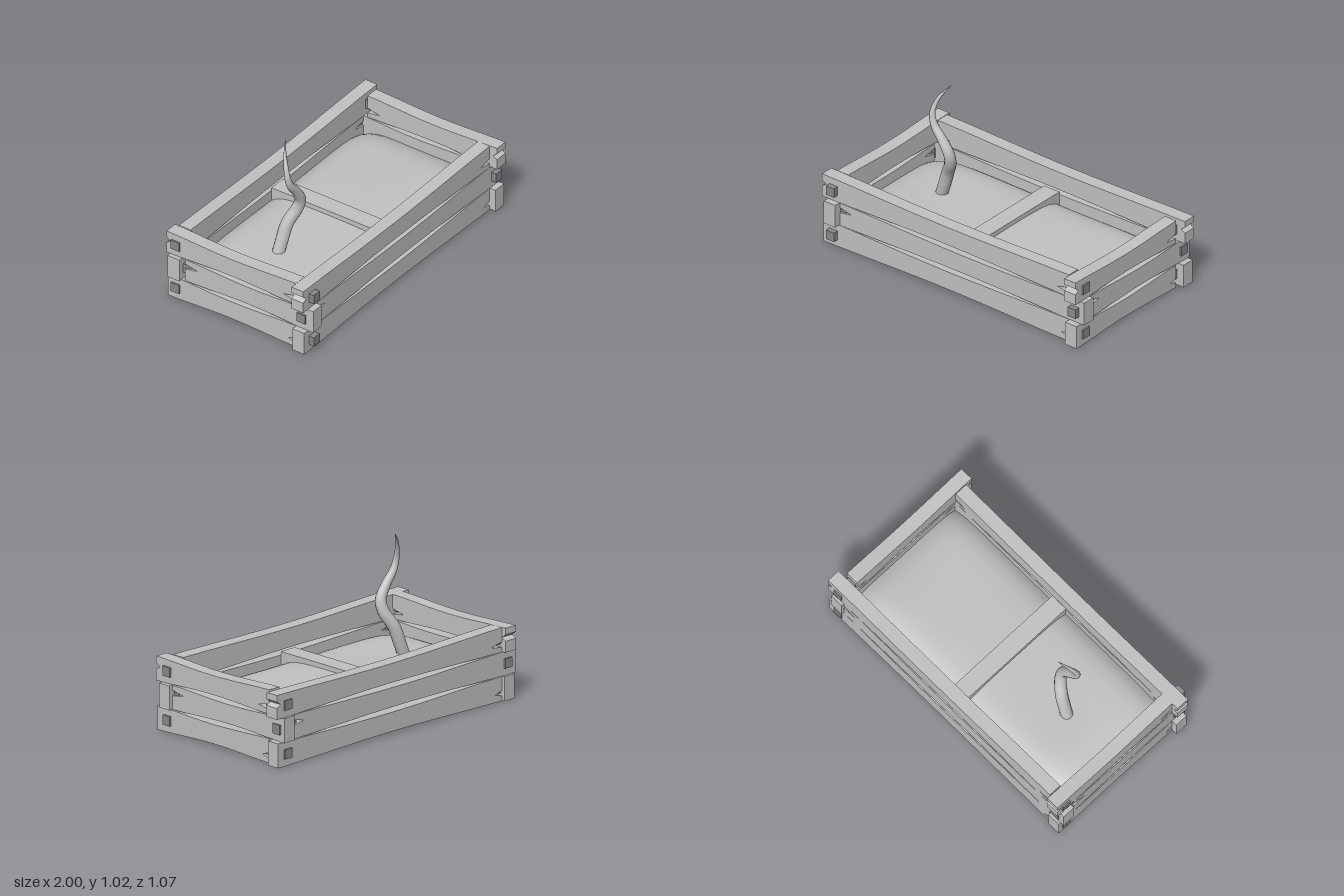
import * as THREE from 'three';

const mat = (name, color, side = THREE.FrontSide) => {
  const m = new THREE.MeshStandardMaterial({ color, side });
  m.name = name;
  return m;
};

const H = 0.15, T = 0.085; // board height and thickness

// Board outline: through end at u = -a, tenon shoulder at u = b, waist narrower in the middle
function boardShape(a, b, { flip, notch, crack, crackY }) {
  const pts = [], n = 10;
  const sag = (i) => 0.016 * Math.pow(Math.sin((Math.PI * i) / n), 1.6);
  const u = (i) => -a + ((a + b) * i) / n;
  for (let i = 0; i <= n; i++) pts.push([u(i), sag(i)]);
  // split running in from the shoulder
  pts.push([b, crackY], [b - crack, crackY + 0.015], [b, crackY + 0.034]);
  for (let i = n; i >= 0; i--) pts.push([u(i), H - sag(i)]);
  // chipped through end
  if (notch) pts.push([-a, 0.11], [-a + 0.03, 0.088], [-a, 0.07]);
  return new THREE.Shape(pts.map(([x, y]) => new THREE.Vector2(flip ? -x : x, y)));
}

function board(name, a, b, tip, opts, wood, dark) {
  const g = new THREE.Group();
  g.name = name;
  const geo = new THREE.ExtrudeGeometry(boardShape(a, b, opts), { depth: T, bevelEnabled: false });
  geo.translate(0, 0, -T / 2);
  const plank = new THREE.Mesh(geo, wood);
  plank.name = 'plank';
  // tenon passing through the neighbouring board
  const len = tip - b + 0.04;
  const tenon = new THREE.Mesh(new THREE.BoxGeometry(len, 0.06, 0.06), dark);
  tenon.name = 'tenon';
  tenon.position.set((opts.flip ? -1 : 1) * (tip - len / 2), 0.075, 0);
  g.add(plank, tenon);
  return g;
}

// Soil sheet, domed and falling away at the rim
function soilGeometry() {
  const geo = new THREE.PlaneGeometry(1.75, 0.84, 48, 28).rotateX(-Math.PI / 2);
  const p = geo.attributes.position;
  for (let i = 0; i < p.count; i++) {
    const x = p.getX(i), z = p.getZ(i);
    const drop = 0.06 * Math.pow(Math.abs(x) / 0.875, 10) + 0.06 * Math.pow(Math.abs(z) / 0.42, 6);
    p.setY(i, 0.272 - drop + 0.004 * Math.sin(x * 5 + 1) * Math.cos(z * 6));
  }
  geo.computeVertexNormals();
  return geo;
}

// Curling sprout: a tube whose rings shrink towards the tip
function sproutGeometry() {
  const path = new THREE.CatmullRomCurve3([
    [-0.525, 0.25, -0.04], [-0.5, 0.32, -0.034], [-0.458, 0.44, -0.02], [-0.412, 0.53, 0.016],
    [-0.407, 0.6, 0.037], [-0.46, 0.69, 0.041], [-0.515, 0.76, 0.04], [-0.534, 0.83, 0.034],
    [-0.518, 0.91, 0.01], [-0.485, 0.97, -0.018], [-0.448, 1.015, -0.04],
  ].map((c) => new THREE.Vector3(...c)));
  const seg = 44, sides = 14;
  const geo = new THREE.TubeGeometry(path, seg, 1, sides);
  const p = geo.attributes.position, v = new THREE.Vector3();
  for (let i = 0; i < p.count; i++) {
    const t = Math.floor(i / (sides + 1)) / seg;
    const c = path.getPointAt(t);
    const r = 0.037 * Math.pow(1 - t, 0.7) * (1 + 0.35 * Math.sin(Math.PI * t)) + 0.0005;
    v.fromBufferAttribute(p, i).sub(c).multiplyScalar(r).add(c);
    p.setXYZ(i, v.x, v.y, v.z);
  }
  geo.computeVertexNormals();
  return geo;
}

export function createModel() {
  const model = new THREE.Group();
  model.name = 'planterBox';
  const wood = mat('pale grey', 0xc2c2c2);
  const sheet = mat('pale grey sheet', 0xc2c2c2, THREE.DoubleSide);
  const dark = mat('dark grey', 0x8a8a8a);

  // Three courses of interlocked boards; the middle one is mirrored
  const courses = [
    { long: 0.99, short: 0.525, crack: 0.055, crackY: 0.03 },
    { long: 0.98, short: 0.525, crack: 0.09, crackY: 0.085, flip: true },
    { long: 1.0, short: 0.535, crack: 0.09, crackY: 0.028, notch: true },
  ];
  courses.forEach((c, i) => {
    const y = i * H;
    const add = (name, a, b, tip, x, z, turn) => {
      const g = board(name, a, b, tip, c, wood, dark);
      g.position.set(x, y, z);
      g.rotation.y = turn;
      model.add(g);
    };
    add('frontBoard', c.long, 0.865, 0.965, 0, 0.443, 0);
    add('backBoard', c.long, 0.865, 0.965, 0, -0.467, Math.PI);
    add('leftBoard', c.short, 0.4, 0.52, 0.912, 0, Math.PI / 2);
    add('rightBoard', c.short, 0.4, 0.52, -0.912, 0, -Math.PI / 2);
  });

  // Cross brace
  const brace = new THREE.Mesh(new THREE.BoxGeometry(0.115, 0.085, 0.825), wood);
  brace.name = 'crossBrace';
  brace.position.set(-0.003, 0.2625, -0.01);
  model.add(brace);

  const soil = new THREE.Mesh(soilGeometry(), sheet);
  soil.name = 'soil';
  soil.position.z = -0.01;
  model.add(soil);

  const sprout = new THREE.Mesh(sproutGeometry(), wood);
  sprout.name = 'sprout';
  model.add(sprout);
  return model;
}
